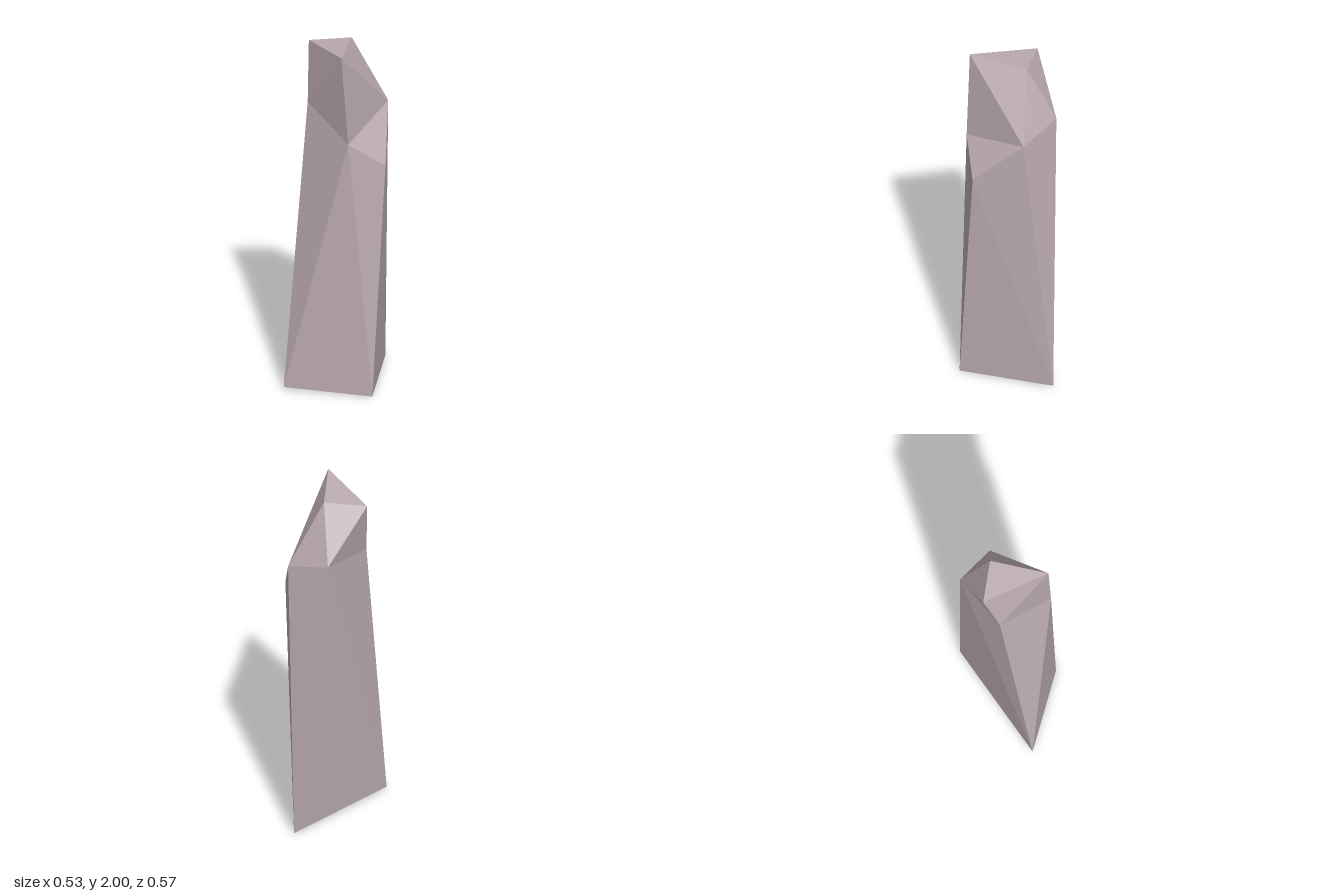
import * as THREE from 'three';

// Corners of the standing stone, [x, y, z]
const corners = {
  // crown
  topFront: [0.05, 2.0, 0.26],
  topBack: [0.015, 1.98, -0.065],
  topRight: [-0.215, 1.955, -0.02],
  // shoulders
  shoulderBack: [-0.035, 1.665, -0.22],
  shoulderLeft: [0.2, 1.6, -0.135],
  shoulderRight: [-0.195, 1.63, 0.07],
  ledgeFront: [0.09, 1.49, 0.26],
  ledgeLeft: [0.265, 1.335, 0.14],
  // foot
  footRight: [-0.267, 0.015, 0.285],
  footLeft: [0.22, 0, 0.24],
  footBack: [0.14, 0.01, -0.285],
};

// Facets, counter-clockwise seen from outside
const facets = [
  // crown cap and chipped top
  'topFront topBack topRight',
  'topFront shoulderLeft topBack',
  'topFront ledgeFront shoulderLeft',
  'topBack shoulderLeft shoulderBack',
  'topBack shoulderBack topRight',
  'topRight shoulderBack shoulderRight',
  'topRight shoulderRight topFront',
  'topFront shoulderRight ledgeFront',
  // sloping ledge
  'ledgeFront ledgeLeft shoulderLeft',
  // front of the shaft
  'shoulderRight footRight ledgeFront',
  'footRight footLeft ledgeFront',
  'ledgeFront footLeft ledgeLeft',
  // left side of the shaft
  'ledgeLeft footLeft footBack',
  'ledgeLeft footBack shoulderLeft',
  // back and right side of the shaft
  'shoulderBack shoulderLeft footBack',
  'shoulderBack footRight shoulderRight',
  'shoulderBack footBack footRight',
];

export function createModel() {
  const positions = facets.flatMap((f) => f.split(' ').flatMap((name) => corners[name]));
  const geometry = new THREE.BufferGeometry();
  geometry.setAttribute('position', new THREE.Float32BufferAttribute(positions, 3));
  geometry.computeVertexNormals();

  // The underside is open, so both sides are drawn
  const material = new THREE.MeshStandardMaterial({
    color: 0xbcacb1,
    flatShading: true,
    side: THREE.DoubleSide,
  });

  const stone = new THREE.Mesh(geometry, material);
  stone.name = 'rockPillar';
  const group = new THREE.Group();
  group.name = 'standingStone';
  group.add(stone);
  return group;
}
